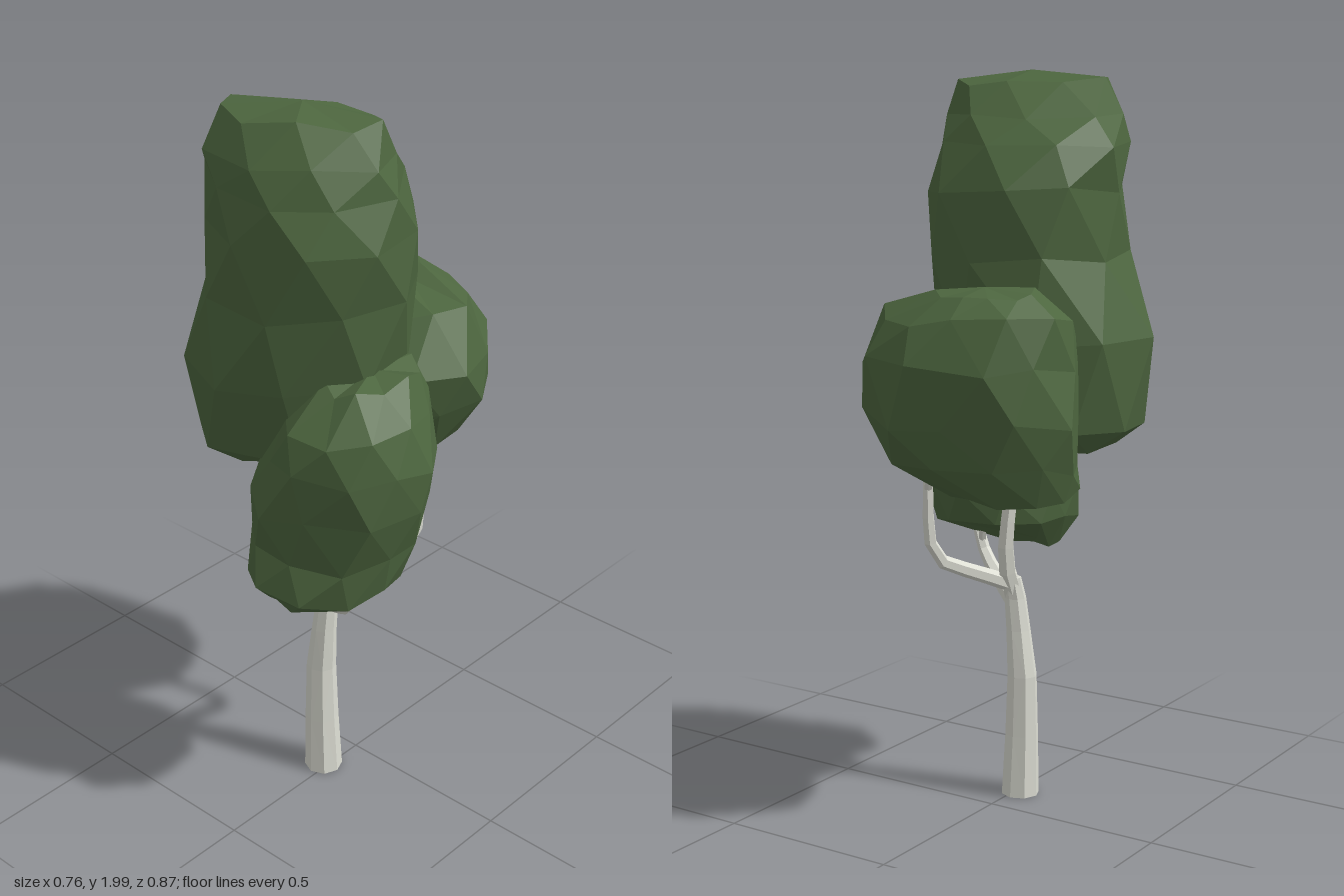
import * as THREE from 'three';

// Small seeded random generator
function seeded(seed) {
  let s = seed;
  return () => {
    s = (s * 16807) % 2147483647;
    return s / 2147483647;
  };
}

// Faceted closed skin through rows of [y, centreX, centreZ, radiusX, radiusZ, skew of z along x]
function loft(rows, sides, jitter, seed, capRise) {
  const rnd = seeded(seed);
  const wobble = (amount) => (rnd() * 2 - 1) * amount;
  const points = [];
  rows.forEach(([y, cx, cz, rx, rz, skew = 0], r) => {
    const stagger = jitter ? (r % 2) * 0.5 : 0;
    for (let i = 0; i < sides; i++) {
      const a = ((i + stagger + wobble(jitter * 2)) / sides) * Math.PI * 2;
      const k = 1 + wobble(jitter) + jitter * 0.35;
      const dx = rx * k * Math.sin(a);
      points.push(cx + dx, y + wobble(jitter * 0.3), cz + rz * k * Math.cos(a) + skew * dx);
    }
  });
  const first = rows[0];
  const last = rows[rows.length - 1];
  points.push(first[1], first[0] - capRise, first[2], last[1], last[0] + capRise, last[2]);

  const index = [];
  const bottom = rows.length * sides;
  const topRow = (rows.length - 1) * sides;
  for (let i = 0; i < sides; i++) {
    const j = (i + 1) % sides;
    for (let r = 0; r < rows.length - 1; r++) {
      const a = r * sides + i, b = r * sides + j;
      const c = a + sides, d = b + sides;
      // Diagonals follow the stagger of the rows
      if (r % 2) index.push(a, b, d, a, d, c);
      else index.push(a, b, c, b, d, c);
    }
    index.push(bottom, j, i, bottom + 1, topRow + i, topRow + j);
  }
  const g = new THREE.BufferGeometry();
  g.setAttribute('position', new THREE.Float32BufferAttribute(points, 3));
  g.setIndex(index);
  const flat = g.toNonIndexed();
  flat.computeVertexNormals();
  return flat;
}

// Tapered faceted limb along a curve
function limb(path, r0, r1, sides = 6, segments = 7) {
  const curve = new THREE.CatmullRomCurve3(path.map((p) => new THREE.Vector3(...p)));
  const g = new THREE.TubeGeometry(curve, segments, 1, sides);
  const pos = g.attributes.position;
  const v = new THREE.Vector3();
  for (let i = 0; i < pos.count; i++) {
    const t = Math.floor(i / (sides + 1)) / segments;
    const c = curve.getPointAt(t);
    v.fromBufferAttribute(pos, i).sub(c).multiplyScalar(r0 + (r1 - r0) * t).add(c);
    pos.setXYZ(i, v.x, v.y, v.z);
  }
  const flat = g.toNonIndexed();
  flat.computeVertexNormals();
  return flat;
}

export function createModel() {
  const tree = new THREE.Group();
  tree.name = 'tree';
  const bark = new THREE.MeshStandardMaterial({ color: 0xdcddd3 });
  bark.name = 'paleBark';
  const leaf = new THREE.MeshStandardMaterial({ color: 0x4d663f });
  leaf.name = 'leafGreen';

  const add = (name, geometry, material) => {
    const mesh = new THREE.Mesh(geometry, material);
    mesh.name = name;
    tree.add(mesh);
  };

  // Trunk with a slight lean
  add('trunk', loft([
    [0.005, -0.017, 0.12, 0.053, 0.053],
    [0.18, -0.021, 0.12, 0.047, 0.046],
    [0.35, -0.023, 0.118, 0.042, 0.04],
    [0.48, -0.012, 0.116, 0.034, 0.034],
    [0.57, -0.004, 0.112, 0.03, 0.031],
    [0.63, 0.0, 0.1, 0.026, 0.026],
  ], 8, 0, 1, 0), bark);

  // Branches: [name, path, start radius, end radius]
  const limbs = [
    ['leader', [[0, 0.58, 0.11], [0, 0.68, 0.07], [-0.02, 0.85, 0.06], [-0.06, 1.1, 0.08]], 0.027, 0.015],
    ['frontBranch', [[0, 0.56, 0.11], [0.07, 0.6, 0.15], [0.15, 0.66, 0.195], [0.18, 0.74, 0.2], [0.19, 0.82, 0.19]], 0.024, 0.012],
    ['frontTwig', [[0.165, 0.69, 0.2], [0.14, 0.75, 0.17], [0.12, 0.8, 0.15]], 0.012, 0.007],
    ['backBranch', [[0, 0.61, 0.1], [0.05, 0.645, 0.03], [0.12, 0.71, -0.09], [0.125, 0.8, -0.115], [0.115, 0.97, -0.13]], 0.023, 0.014],
    ['backTwig', [[0.12, 0.9, -0.125], [0.1, 0.94, -0.15], [0.08, 0.99, -0.17]], 0.012, 0.008],
  ];
  for (const [name, path, r0, r1] of limbs) add(name, limb(path, r0, r1), bark);

  // Tall main crown, its narrow top ridge running diagonally
  add('mainCrown', loft([
    [1.02, -0.15, 0.12, 0.14, 0.15],
    [1.08, -0.135, 0.13, 0.215, 0.23],
    [1.3, -0.1, 0.13, 0.285, 0.275],
    [1.52, -0.04, 0.12, 0.26, 0.28, 0.05],
    [1.69, -0.03, 0.115, 0.275, 0.28, 0.08],
    [1.8, -0.045, 0.14, 0.27, 0.235, 0.05],
    [1.88, -0.035, 0.155, 0.24, 0.19, -0.1],
    [1.965, -0.02, 0.165, 0.19, 0.11, -0.3],
  ], 9, 0.045, 77, 0.03), leaf);

  // Rounded crown at the back, highest toward its outer corner
  add('backCrown', loft([
    [0.93, -0.15, -0.12, 0.16, 0.16],
    [1.01, -0.08, -0.16, 0.25, 0.215],
    [1.13, -0.045, -0.17, 0.295, 0.25],
    [1.27, -0.045, -0.17, 0.3, 0.255],
    [1.385, -0.075, -0.19, 0.25, 0.195],
    [1.445, -0.12, -0.215, 0.13, 0.1],
  ], 11, 0.065, 4211, 0.015), leaf);

  // Low crown at the front, leaning outward as it rises
  add('lowCrown', loft([
    [0.7, 0.05, 0.29, 0.07, 0.07],
    [0.77, 0.105, 0.24, 0.185, 0.18, -0.1],
    [0.88, 0.12, 0.21, 0.21, 0.18, -0.15],
    [1.01, 0.13, 0.21, 0.23, 0.205, -0.12],
    [1.14, 0.165, 0.2, 0.21, 0.21],
    [1.25, 0.175, 0.185, 0.165, 0.195],
    [1.33, 0.18, 0.14, 0.09, 0.135],
  ], 10, 0.065, 905, 0.015), leaf);

  return tree;
}
